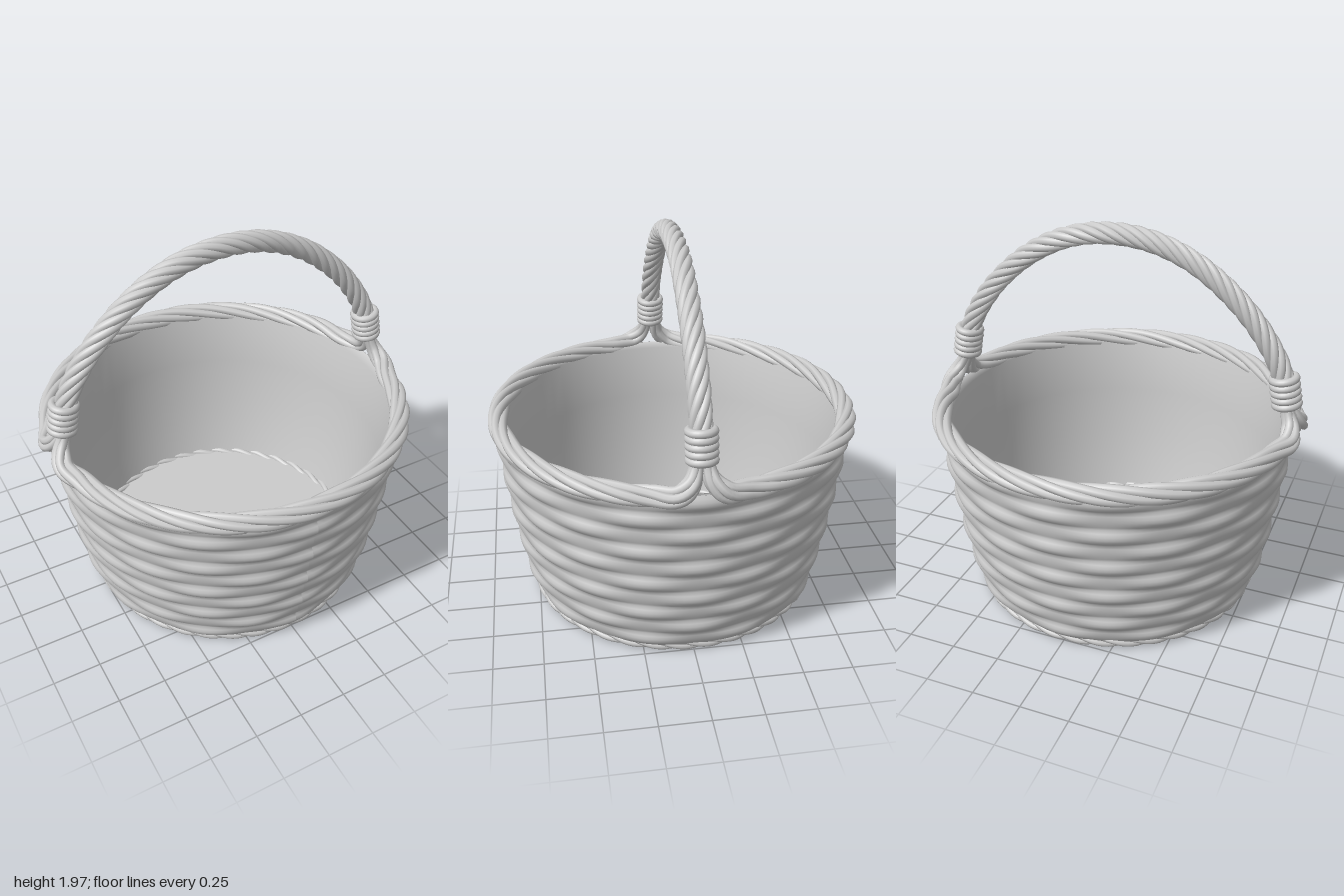
import * as THREE from 'three';

const material = new THREE.MeshStandardMaterial({ color: 0xcccccc });
const openMaterial = new THREE.MeshStandardMaterial({ color: 0xcccccc, side: THREE.DoubleSide });
const V = (x, y, z) => new THREE.Vector3(x, y, z);

function addMesh(parent, name, geometry, mat = material) {
  const mesh = new THREE.Mesh(geometry, mat);
  mesh.name = name;
  parent.add(mesh);
  return mesh;
}

// Rope of twisted strands laid along a curve; spread(t) scales the distance of the strands from its core
function rope(name, curve, { strands, core, radius, turns, steps, closed = false, spread = () => 1 }) {
  const group = new THREE.Group();
  group.name = name;
  const frames = curve.computeFrenetFrames(steps, closed);
  for (let s = 0; s < strands; s++) {
    const points = [];
    for (let i = 0; i < (closed ? steps : steps + 1); i++) {
      const t = i / steps;
      const a = 2 * Math.PI * (turns * t + s / strands);
      const r = core * spread(t);
      points.push(curve.getPointAt(t)
        .addScaledVector(frames.normals[i], r * Math.cos(a))
        .addScaledVector(frames.binormals[i], r * Math.sin(a)));
    }
    const path = new THREE.CatmullRomCurve3(points, closed);
    addMesh(group, name + 'Strand', new THREE.TubeGeometry(path, steps, radius, 8, closed), openMaterial);
  }
  return group;
}

// Woven outer wall: rounded rows passing alternately over and under 20 stakes
function wovenWall() {
  const rows = 10, perRow = 6, bottom = 0.03, top = 1.0;
  const profile = [];
  for (let i = 0; i <= rows * perRow; i++) {
    const y = bottom + (top - bottom) * i / (rows * perRow);
    profile.push(new THREE.Vector2(0.738 + 0.195 * Math.pow(y, 0.6), y));
  }
  const geometry = new THREE.LatheGeometry(profile, 160);
  const p = geometry.attributes.position;
  for (let k = 0; k < p.count; k++) {
    const i = k % profile.length;
    const row = Math.floor(i / perRow);
    const bump = Math.sin(Math.PI * (i % perRow) / perRow);
    const angle = Math.atan2(p.getX(k), p.getZ(k));
    const offset = -0.012 + bump * (0.015 + 0.009 * Math.cos(10 * angle + Math.PI * row));
    const scale = 1 + offset / profile[i].x;
    p.setX(k, p.getX(k) * scale);
    p.setZ(k, p.getZ(k) * scale);
  }
  geometry.computeVertexNormals();
  return geometry;
}

export function createModel() {
  const model = new THREE.Group();
  model.name = 'wickerBasket';

  // Body: woven outside, smooth lining, floor and underside
  addMesh(model, 'wovenWall', wovenWall(), openMaterial);
  const lining = [[0.73, 0.04], [0.77, 0.2], [0.81, 0.42], [0.845, 0.68], [0.87, 0.98], [0.92, 1.0]]
    .map(([x, y]) => new THREE.Vector2(x, y));
  addMesh(model, 'lining', new THREE.LatheGeometry(lining, 64), openMaterial);
  const floor = addMesh(model, 'floor', new THREE.CircleGeometry(0.74, 64));
  floor.rotation.x = -Math.PI / 2;
  floor.position.y = 0.045;
  const underside = addMesh(model, 'underside', new THREE.CircleGeometry(0.75, 64));
  underside.rotation.x = Math.PI / 2;
  underside.position.y = 0.01;

  // Twisted trim around the foot
  const footPoints = [];
  for (let i = 0; i < 32; i++) {
    const a = i / 32 * 2 * Math.PI;
    footPoints.push(V(0.735 * Math.cos(a), 0.032, 0.74 * Math.sin(a)));
  }
  model.add(rope('footTrim', new THREE.CatmullRomCurve3(footPoints, true),
    { strands: 3, core: 0.016, radius: 0.017, turns: 12, steps: 200, closed: true }));

  // Rim: a front and a back rope whose ends turn up into the handle bindings
  for (const side of [1, -1]) {
    const rise = [V(0.877, 1.24, 0.02), V(0.895, 1.14, 0.026), V(0.925, 1.065, 0.05), V(0.935, 1.015, 0.11)];
    const points = rise.slice();
    for (let d = 14; d <= 166; d += 8) {
      const a = d * Math.PI / 180;
      points.push(V(0.92 * Math.cos(a), 1.0, 0.905 * Math.sin(a)));
    }
    points.push(...rise.slice().reverse().map(v => V(-v.x, v.y, v.z)));
    points.forEach(v => { v.z *= side; });
    const spread = t => 0.4 + 0.6 * THREE.MathUtils.smoothstep(Math.min(t, 1 - t), 0.03, 0.08);
    model.add(rope(side > 0 ? 'frontRim' : 'backRim', new THREE.CatmullRomCurve3(points),
      { strands: 5, core: 0.031, radius: 0.0225, turns: 3, steps: 160, spread }));
  }

  // Arched handle
  const arch = [[0.888, 1.15], [0.865, 1.28], [0.81, 1.41], [0.67, 1.6], [0.46, 1.78], [0.24, 1.885]];
  const handlePoints = [
    ...arch.map(([x, y]) => V(-x, y, 0)), V(0, 1.92, 0),
    ...arch.slice().reverse().map(([x, y]) => V(x, y, 0))];
  model.add(rope('handle', new THREE.CatmullRomCurve3(handlePoints),
    { strands: 6, core: 0.034, radius: 0.022, turns: 5, steps: 150 }));

  // Coiled bindings at the foot of the handle
  for (const side of [1, -1]) {
    const binding = new THREE.Group();
    binding.name = side > 0 ? 'leftBinding' : 'rightBinding';
    const low = V(side * 0.889, 1.165, 0), high = V(side * 0.866, 1.295, 0);
    const axis = high.clone().sub(low).normalize();
    for (let i = 0; i < 5; i++) {
      const coil = addMesh(binding, 'coil', new THREE.TorusGeometry(0.058, 0.02, 10, 32));
      coil.position.lerpVectors(low, high, i / 4);
      coil.quaternion.setFromUnitVectors(V(0, 0, 1), axis);
    }
    model.add(binding);
  }
  return model;
}
